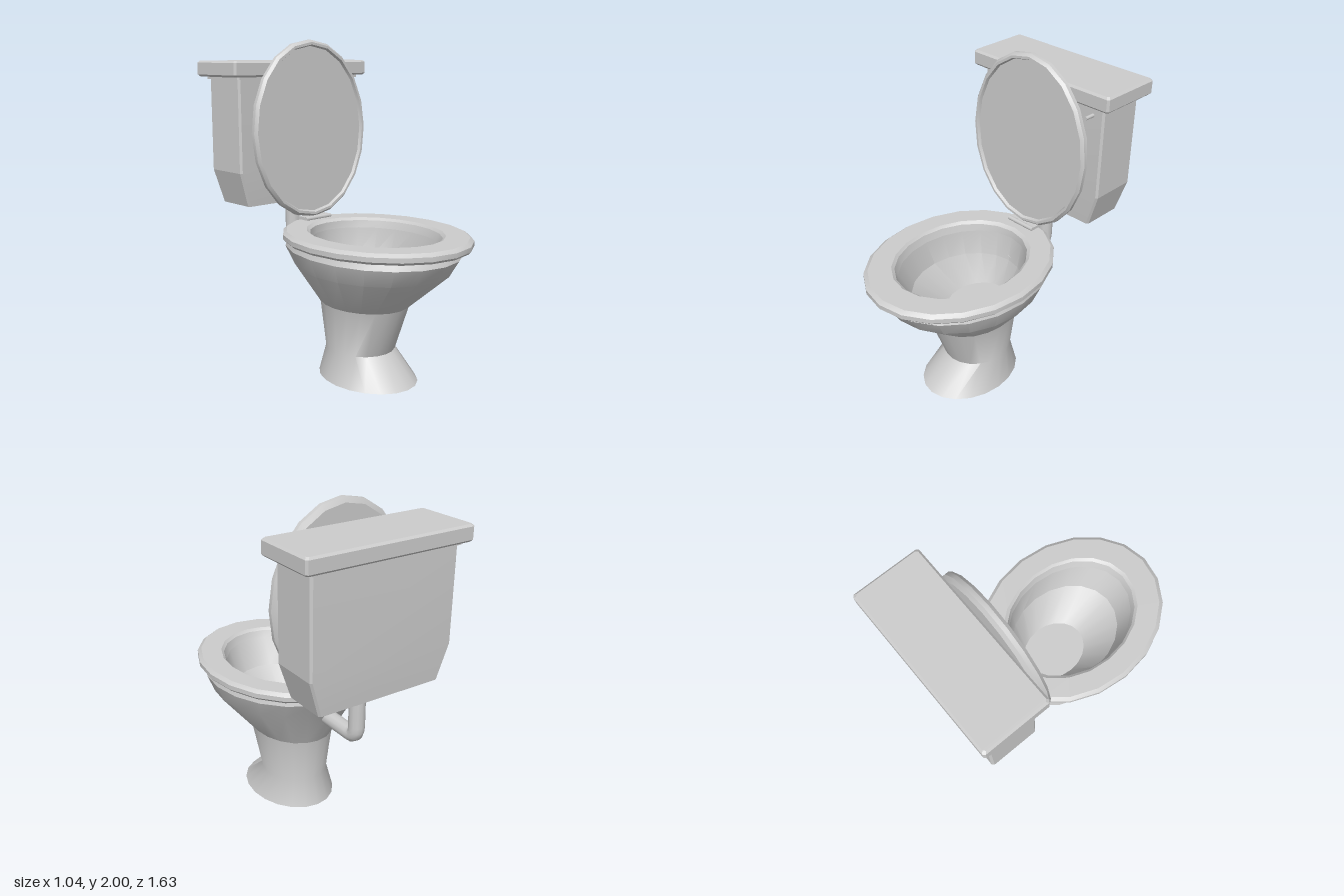
import * as THREE from 'three';
import { toCreasedNormals } from 'three/addons/utils/BufferGeometryUtils.js';

const V = (x, y, z) => new THREE.Vector3(x, y, z);
const SEGMENTS = 20;

// Ellipse section: half width, front and back z, height at front and back.
function oval(rx, zFront, zBack, yFront, yBack = yFront, cx = 0.01) {
  return Array.from({ length: SEGMENTS }, (_, i) => {
    const a = (i / SEGMENTS) * Math.PI * 2;
    const t = (1 - Math.cos(a)) / 2;
    return V(cx + rx * Math.sin(a), yFront + (yBack - yFront) * t, zFront + (zBack - zFront) * t);
  });
}

// Rectangle section with cut corners.
function rect(hx, zFront, zBack, y, c = 0.012) {
  return [
    [-hx + c, zFront], [hx - c, zFront], [hx, zFront - c], [hx, zBack + c],
    [hx - c, zBack], [-hx + c, zBack], [-hx, zBack + c], [-hx, zFront - c],
  ].map(([x, z]) => V(x, y, z));
}

// Skin a stack of sections; optionally cap the first and last, or join them into a loop.
function loft(rings, { capStart = false, capEnd = false, loop = false, crease = 0.4 } = {}) {
  const n = rings[0].length;
  const index = [];
  const points = rings.flat();
  const bands = loop ? rings.length : rings.length - 1;
  for (let i = 0; i < bands; i++) {
    const lo = i * n;
    const hi = ((i + 1) % rings.length) * n;
    for (let j = 0; j < n; j++) {
      const k = (j + 1) % n;
      index.push(lo + j, lo + k, hi + k, lo + j, hi + k, hi + j);
    }
  }
  const last = (rings.length - 1) * n;
  for (let j = 1; j < n - 1; j++) {
    if (capStart) index.push(0, j + 1, j);
    if (capEnd) index.push(last, last + j, last + j + 1);
  }
  const geometry = new THREE.BufferGeometry().setFromPoints(points);
  geometry.setIndex(index);
  return toCreasedNormals(geometry, crease);
}

export function createModel() {
  const model = new THREE.Group();
  const material = new THREE.MeshStandardMaterial({ color: 0xcccccc });
  const add = (name, geometry, x = 0, y = 0, z = 0) => {
    const mesh = new THREE.Mesh(geometry, material);
    mesh.name = name;
    mesh.position.set(x, y, z);
    model.add(mesh);
    return mesh;
  };

  // Foot flaring forward, narrow waist
  add('pedestal', loft([
    oval(0.26, 0.48, -0.19, 0),
    oval(0.2, 0.3, -0.14, 0.17),
    oval(0.24, 0.41, -0.185, 0.46),
  ], { capStart: true, crease: 0.9 }));

  // Outer bowl, rim, then the hollow down to the bottom of the basin
  add('bowl', loft([
    oval(0.24, 0.41, -0.185, 0.46),
    oval(0.435, 0.68, -0.31, 0.69, 0.71),
    oval(0.475, 0.745, -0.385, 0.79, 0.82),
    oval(0.465, 0.72, -0.38, 0.84),
    oval(0.33, 0.61, -0.22, 0.84),
    oval(0.3, 0.52, -0.2, 0.68),
    oval(0.175, 0.28, -0.14, 0.5),
  ], { capEnd: true }));

  // Ring seat with bevelled edges
  add('seat', loft([
    oval(0.33, 0.61, -0.22, 0.84),
    oval(0.485, 0.805, -0.385, 0.84),
    oval(0.5, 0.82, -0.4, 0.855),
    oval(0.5, 0.82, -0.4, 0.882),
    oval(0.478, 0.795, -0.378, 0.9),
    oval(0.36, 0.65, -0.25, 0.9),
    oval(0.345, 0.63, -0.225, 0.885),
  ], { loop: true }));

  // Raised lid: modelled flat, then stood up with a slight backward lean
  const lidRing = (inset, y) => oval(0.44 - inset, 0.545 - inset, -0.545 + inset, y, y, 0);
  const lid = add('lid', loft([
    lidRing(0.03, -0.03), lidRing(0, -0.012), lidRing(0, 0.012), lidRing(0.015, 0.03),
    lidRing(0.03, 0.03), lidRing(0.038, 0.012),
  ], { capStart: true, capEnd: true }), 0, 1.455, -0.36);
  lid.rotation.x = Math.PI / 2 - 0.02;

  // Hinge pin and its plate
  add('hingePin', new THREE.CylinderGeometry(0.014, 0.014, 0.2, 10).rotateZ(Math.PI / 2), 0.008, 0.908, -0.307);
  add('hingePlate', new THREE.BoxGeometry(0.2, 0.02, 0.07), 0.008, 0.908, -0.345);

  // Cistern tapering at the bottom, with an overhanging cover
  add('tank', loft([
    rect(0.395, -0.475, -0.75, 1),
    rect(0.46, -0.46, -0.765, 1.21),
    rect(0.46, -0.46, -0.765, 1.79),
  ], { capStart: true, capEnd: true, crease: 0.15 }));
  add('tankCover', loft([
    rect(0.475, -0.445, -0.78, 1.765),
    rect(0.475, -0.445, -0.78, 1.78),
    rect(0.508, -0.422, -0.803, 1.78),
    rect(0.52, -0.41, -0.815, 1.792),
    rect(0.52, -0.41, -0.815, 1.863),
    rect(0.508, -0.422, -0.803, 1.875),
  ], { capStart: true, capEnd: true }));

  // Flush handle on the front of the cistern
  add('flushHandle', new THREE.CylinderGeometry(0.011, 0.011, 0.07, 10).rotateX(Math.PI / 2), 0.385, 1.72, -0.43);

  // Bent pipe from cistern to bowl
  const path = new THREE.CurvePath();
  const bend = [V(0, 1.02, -0.548), V(0, 0.73, -0.548), V(0, 0.665, -0.49), V(0, 0.665, -0.2)];
  path.add(new THREE.LineCurve3(bend[0], bend[1]));
  path.add(new THREE.QuadraticBezierCurve3(bend[1], V(0, 0.665, -0.548), bend[2]));
  path.add(new THREE.LineCurve3(bend[2], bend[3]));
  add('flushPipe', new THREE.TubeGeometry(path, 24, 0.048, 12));

  return model;
}
